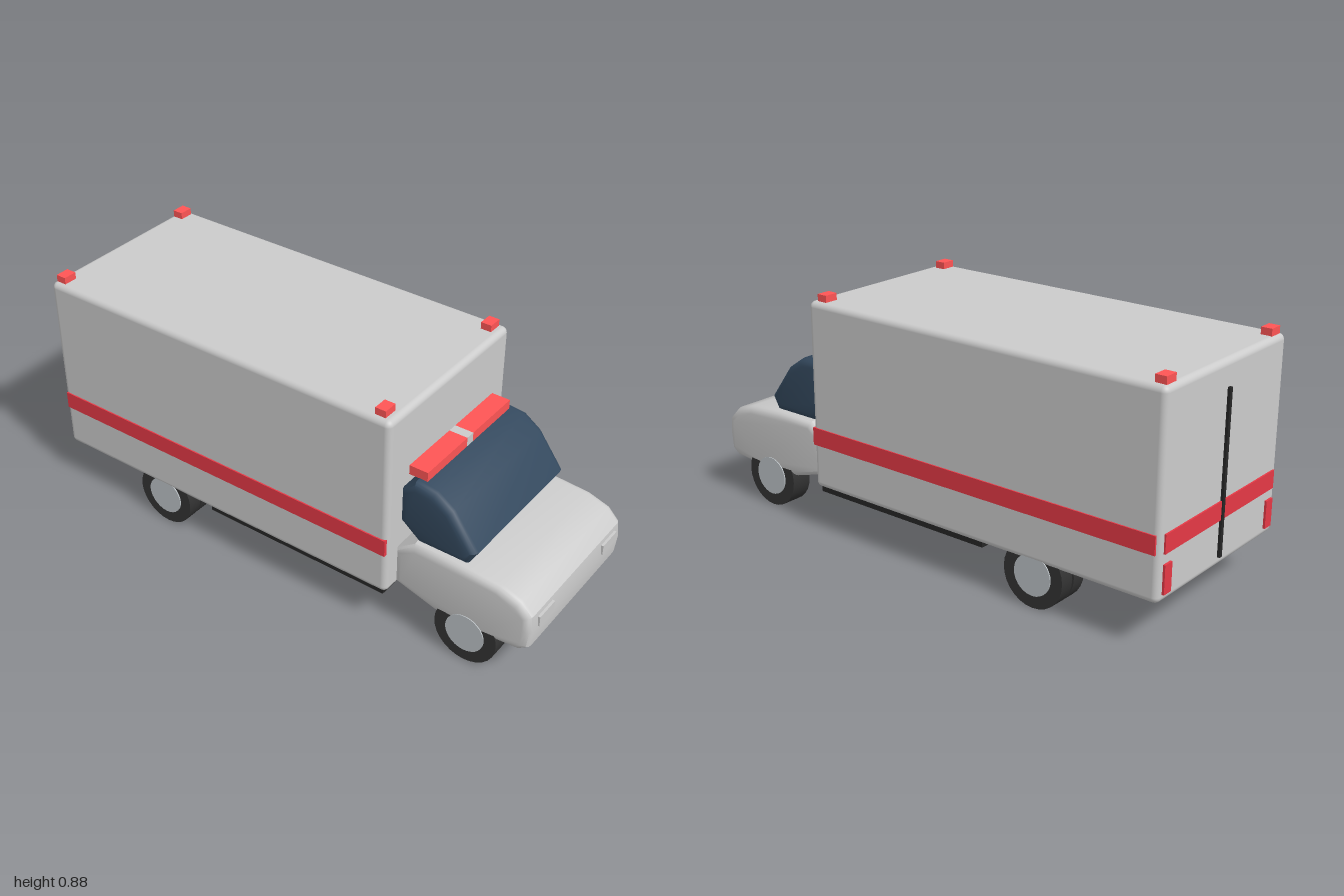
import * as THREE from 'three';
import { toCreasedNormals } from 'three/addons/utils/BufferGeometryUtils.js';
import { RoundedBoxGeometry } from 'three/addons/geometries/RoundedBoxGeometry.js';

const mat = (color) => new THREE.MeshStandardMaterial({ color });

export function createModel() {
  const model = new THREE.Group();
  const grey = mat(0xcccccc), glass = mat(0x34495e), red = mat(0xe63946);
  const lamp = mat(0xff5555), rubber = mat(0x333333), hubMat = mat(0xbdc3c7), dark = mat(0x262626);

  const add = (name, geometry, material, x = 0, y = 0, z = 0, parent = model) => {
    const mesh = new THREE.Mesh(geometry, material);
    mesh.name = name;
    mesh.position.set(x, y, z);
    parent.add(mesh);
    return mesh;
  };
  // Box given by its extents on each axis
  const box = (name, material, [x0, x1], [y0, y1], [z0, z1]) =>
    add(name, new THREE.BoxGeometry(x1 - x0, y1 - y0, z1 - z0), material,
      (x0 + x1) / 2, (y0 + y1) / 2, (z0 + z1) / 2);
  // Side profile swept across the width, with rounded edges
  const profile = (name, material, points, half, bevel) => {
    const shape = new THREE.Shape(points.map(([x, y]) => new THREE.Vector2(x, y)));
    const geo = new THREE.ExtrudeGeometry(shape, {
      depth: 2 * (half - bevel), bevelEnabled: true, bevelSize: bevel,
      bevelThickness: bevel, bevelOffset: -bevel, bevelSegments: 4,
    });
    geo.translate(0, 0, bevel - half);
    return add(name, toCreasedNormals(geo, 0.6), material);
  };

  // Cargo box and the skid panel below it
  add('cargoBox', new RoundedBoxGeometry(1.46, 0.695, 0.71, 4, 0.022), grey, -0.26, 0.5125, 0);
  box('underPanel', dark, [-0.3, 0.45], [0.146, 0.17], [-0.34, 0.34]);

  // Cab: bonnet and glasshouse
  profile('bonnet', grey, [
    [0.47, 0.19], [0.63, 0.143], [0.82, 0.137], [0.95, 0.148], [0.983, 0.172],
    [0.99, 0.24], [0.983, 0.3], [0.94, 0.344], [0.86, 0.37], [0.7, 0.382],
    [0.54, 0.382], [0.47, 0.33],
  ], 0.31, 0.028);
  profile('cabWindows', glass, [
    [0.47, 0.44], [0.545, 0.38], [0.73, 0.38], [0.76, 0.432], [0.665, 0.56],
    [0.6, 0.605], [0.52, 0.614], [0.47, 0.565],
  ], 0.29, 0.028);

  // Light bar above the cab
  box('lightBarCentre', grey, [0.48, 0.55], [0.612, 0.647], [-0.018, 0.018]);

  // Rear doors
  box('rearStripe', red, [-0.996, -0.985], [0.33, 0.395], [-0.33, 0.33]);
  box('doorSeam', dark, [-1, -0.985], [0.2, 0.77], [-0.007, 0.007]);

  // Hub-faced wheel; side is +1 or -1 and z is the outer tyre face
  const wheel = (name, x, z, side, tyres) => {
    const group = new THREE.Group();
    group.name = name;
    for (const [inner, outer] of tyres) {
      const w = outer - inner;
      const tyre = new THREE.CylinderGeometry(0.118, 0.118, w, 28).rotateX(Math.PI / 2);
      add('tyre', tyre, rubber, x, 0.118, side * (inner + outer) / 2, group);
    }
    const hub = new THREE.CylinderGeometry(0.073, 0.073, 0.05, 28).rotateX(Math.PI / 2);
    add('hub', hub, hubMat, x, 0.118, side * (z + 0.004 - 0.025), group);
    // Axle stub behind the tyre gap
    const core = new THREE.CylinderGeometry(0.095, 0.095, 0.07, 28).rotateX(Math.PI / 2);
    add('wheelCore', core, rubber, x, 0.118, side * (z - 0.05), group);
    model.add(group);
  };

  // Mirrored parts
  for (const s of [1, -1]) {
    const span = (a, b) => (s > 0 ? [a, b] : [-b, -a]);
    box('sideStripe', red, [-0.977, 0.465], [0.33, 0.395], span(0.34, 0.36));
    box('lightBarLamp', lamp, [0.48, 0.55], [0.612, 0.647], span(0.018, 0.252));
    box('headlight', grey, [0.95, 0.994], [0.245, 0.283], span(0.165, 0.26));
    box('tailLight', red, [-0.998, -0.985], [0.195, 0.295], span(0.29, 0.33));
    for (const x of [-0.955, 0.42])
      box('cornerLamp', lamp, [x - 0.02, x + 0.02], [0.855, 0.885], span(0.283, 0.335));
    wheel('frontWheel', 0.755, 0.309, s, [[0.227, 0.309]]);
    wheel('rearWheel', -0.517, 0.349, s, [[0.23, 0.285], [0.294, 0.349]]);
  }
  return model;
}
